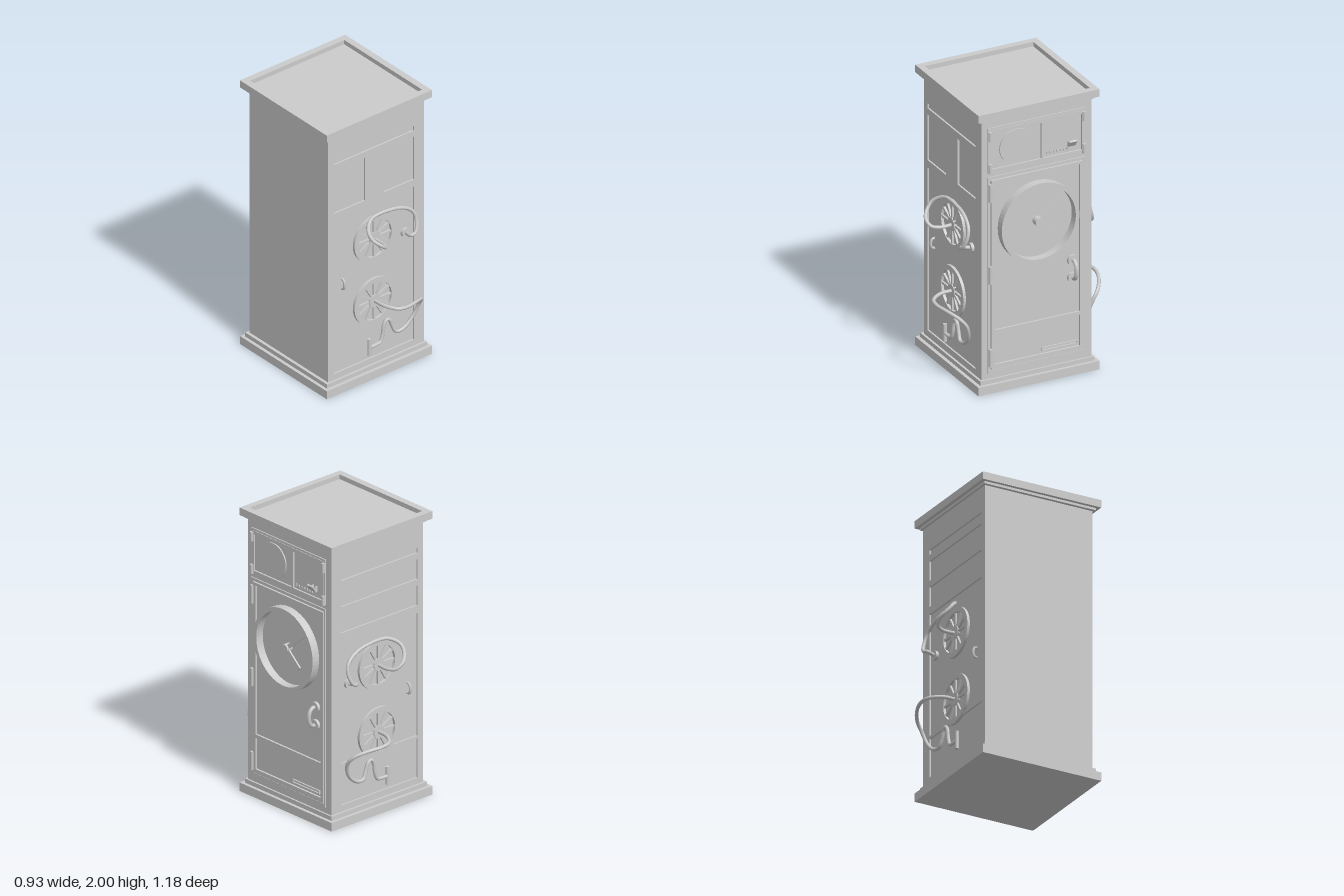
import * as THREE from 'three';

const mat = new THREE.MeshStandardMaterial({ color: 0xcccccc });
const V = (x, y, z) => new THREE.Vector3(x, y, z);

function add(parent, name, geo, x = 0, y = 0, z = 0) {
  const m = new THREE.Mesh(geo, mat);
  m.name = name;
  m.position.set(x, y, z);
  parent.add(m);
  return m;
}

// box given by its extents
function block(parent, name, x0, x1, y0, y1, z0, z1) {
  return add(parent, name, new THREE.BoxGeometry(x1 - x0, y1 - y0, z1 - z0),
    (x0 + x1) / 2, (y0 + y1) / 2, (z0 + z1) / 2);
}

// flat plate with rectangular openings, each [x0, x1, y0, y1]
function rect(P, [x0, x1, y0, y1]) {
  const p = new P();
  p.moveTo(x0, y0); p.lineTo(x1, y0); p.lineTo(x1, y1); p.lineTo(x0, y1); p.closePath();
  return p;
}
function plate(parent, name, outer, holes, z, depth) {
  const s = rect(THREE.Shape, outer);
  s.holes = holes.map(h => rect(THREE.Path, h));
  return add(parent, name, new THREE.ExtrudeGeometry(s, { depth, bevelEnabled: false }), 0, 0, z);
}

// flat ring facing +z
function ring(parent, name, x, y, z, ro, ri, depth) {
  const s = new THREE.Shape();
  s.absarc(0, 0, ro, 0, Math.PI * 2);
  const h = new THREE.Path();
  h.absarc(0, 0, ri, 0, Math.PI * 2);
  s.holes.push(h);
  return add(parent, name, new THREE.ExtrudeGeometry(s, { depth, bevelEnabled: false, curveSegments: 32 }), x, y, z);
}

// disc facing +z, from z to z + depth
function disc(parent, name, x, y, z, r, depth) {
  const g = new THREE.CylinderGeometry(r, r, depth, 24).rotateX(Math.PI / 2);
  return add(parent, name, g, x, y, z + depth / 2);
}

function tube(parent, name, pts, r, n = 80) {
  const c = new THREE.CatmullRomCurve3(pts.map(p => V(...p)));
  return add(parent, name, new THREE.TubeGeometry(c, n, r, 8));
}

const X0 = -0.418, X1 = 0.383, Z = 0.4, D = 0.012;

// hoses in face coordinates: z is the distance out from the face
const UPPER_HOSE = [[-.03, 1.03, -.01], [-.03, 1.03, .09], [-.055, 1.04, .14], [-.1, 1.075, .153], [-.145, 1.12, .12],
  [-.147, 1.17, .08], [-.08, 1.213, .03], [.09, 1.213, .02], [.2, 1.185, .025], [.265, 1.135, .035],
  [.28, 1.07, .05], [.255, 1.0, .07], [.222, .987, .065], [.23, .975, 0]];
const LOWER_HOSE = [[-.03, .56, -.01], [-.02, .56, .09], [.03, .553, .165], [.1, .547, .178], [.2, .535, .15], [.28, .5, .1],
  [.295, .445, .06], [.265, .35, .035], [.19, .283, .03], [.13, .277, .025], [.1, .33, .02], [.08, .38, .02],
  [.055, .393, .02], [.033, .365, .02], [.02, .29, .02], [0, .245, .02], [-.04, .237, .02], [-.09, .237, .02]];

// service side with panels and two hose reels; s = -1 mirrors it in x
function serviceSide(s, panels) {
  const g = new THREE.Group();
  g.name = s > 0 ? 'frontSide' : 'backSide';
  const mx = ([a, b, c, d]) => s > 0 ? [a, b, c, d] : [-b, -a, c, d];
  plate(g, 'panelFrame', mx([X0, X1, .09, 1.93]), panels.map(mx), -D, D);

  for (const y of [1.035, .56]) {
    const reel = new THREE.Group();
    reel.name = 'hoseReel';
    reel.position.set(-.03 * s, y, 0);
    g.add(reel);
    ring(reel, 'reelRim', 0, 0, -D, .172, .138, D + .007);
    disc(reel, 'reelHub', 0, 0, -D, .045, D + .007);
    for (let i = 0; i < 12; i++) {
      const a = i / 12 * Math.PI * 2;
      const sp = add(reel, 'reelSpoke', new THREE.BoxGeometry(.1, .016, .014),
        Math.cos(a) * .091, Math.sin(a) * .091, -.005);
      sp.rotation.z = a;
    }
  }

  const flip = pts => pts.map(([x, y, z]) => [x * s, y, z]);
  tube(g, 'upperHose', flip(UPPER_HOSE), .0125, 110);
  disc(g, 'hoseSocket', .23 * s, .975, -D, .032, D + .008);
  tube(g, 'lowerHose', flip(LOWER_HOSE), .0125, 130);
  add(g, 'nozzleBar', new THREE.CylinderGeometry(.013, .013, .125, 10), -.09 * s, .24, .02);

  // small pull handle
  const y = .787, x = -.293 * s;
  tube(g, 'panelHandle', [[x, y - .036, -D], [x, y - .03, .007], [x, y, .016], [x, y + .03, .007], [x, y + .036, -D]], .009, 20);
  return g;
}

// door side, built facing +z and turned to +x
function doorSide() {
  const g = new THREE.Group();
  g.name = 'doorSide';

  // upper pair of small doors
  plate(g, 'upperDoorFrame', [-.36, .35, 1.56, 1.88], [[-.34, .335, 1.575, 1.865]], 0, .008);
  plate(g, 'upperDoors', [-.34, .335, 1.575, 1.865], [[-.33, .03, 1.585, 1.84], [.045, .325, 1.585, 1.84]], 0, .012);
  disc(g, 'roundWindow', -.15, 1.712, 0, .122, .009);
  for (let i = 0; i < 7; i++) {
    block(g, 'scaleTick', .07 + i * .025, .076 + i * .025, 1.605, 1.62, 0, .008);
  }
  // toggle lever on two short posts
  for (const x of [.23, .262]) block(g, 'leverPost', x - .005, x + .005, 1.625, 1.665, 0, .015);
  const lever = add(g, 'lever', new THREE.BoxGeometry(.054, .012, .05), .245, 1.655, .03);
  lever.rotation.x = -.95;

  // tall door
  plate(g, 'doorFrame', [-.36, .35, .13, 1.53], [[-.34, .34, .155, 1.51]], 0, .008);
  plate(g, 'door', [-.335, .335, .16, 1.505], [[-.31, .31, .435, 1.485], [-.31, .31, .19, .41]], 0, .014);
  plate(g, 'ventFrame', [.035, .295, .207, .232], [[.042, .288, .213, .226]], 0, .01);

  // hinges
  const hinge = (x, y0, y1) => add(g, 'hinge',
    new THREE.CylinderGeometry(.013, .013, y1 - y0, 10), x, (y0 + y1) / 2, .015);
  for (const [a, b] of [[1.355, 1.48], [.77, .895], [.18, .305]]) hinge(-.342, a, b);
  for (const x of [-.345, .34]) for (const [a, b] of [[1.79, 1.855], [1.56, 1.625]]) hinge(x, a, b);

  // dial with two hands
  ring(g, 'dialRim', 0, 1.15, 0, .283, .257, .057);
  disc(g, 'dialHub', 0, 1.15, 0, .03, .047);
  for (const [dx, dy, w] of [[.178, .15, .026], [.125, -.11, .03]]) {
    const len = Math.hypot(dx, dy);
    const hand = add(g, 'dialHand', new THREE.BoxGeometry(len, w, .012), dx / 2, 1.15 + dy / 2, .028);
    hand.rotation.z = Math.atan2(dy, dx);
  }

  // door handle
  for (const y of [.812, .688]) disc(g, 'handleRosette', .258, y, 0, .036, .02);
  tube(g, 'doorHandle', [[.258, .688, 0], [.258, .688, .035], [.258, .71, .058], [.258, .75, .066],
    [.258, .79, .058], [.258, .812, .035], [.258, .812, 0]], .014, 40);

  g.rotation.y = Math.PI / 2;
  g.position.x = X1;
  return g;
}

export function createModel() {
  const root = new THREE.Group();
  root.name = 'cabinet';

  // body, base and cornice
  block(root, 'body', X0, X1, .05, 1.94, -Z + D, Z - D);
  block(root, 'base', -.463, .418, 0, .06, -.441, .441);
  block(root, 'baseStep', -.44, .395, .06, .09, -.416, .416);
  block(root, 'corniceStep', -.44, .395, 1.93, 1.95, -.416, .416);
  block(root, 'roof', -.463, .418, 1.947, 1.968, -.441, .441);
  const rim = plate(root, 'roofRim', [-.463, .418, -.441, .441], [[-.415, .372, -.395, .395]], 0, .032);
  rim.rotation.x = -Math.PI / 2;
  rim.position.y = 1.968;

  // front and back service sides
  const slot = [-.37, .30, 1.72, 1.755];
  const front = serviceSide(1, [slot, [-.37, -.11, 1.35, 1.675], [.05, .30, 1.35, 1.675], [-.37, .30, .135, 1.295]]);
  front.position.z = Z;
  const back = serviceSide(-1, [slot, [-.37, .30, 1.535, 1.675], [-.37, .30, 1.35, 1.49],
    [-.37, .30, .43, 1.295], [-.37, .30, .135, .41]]);
  back.position.z = -Z;
  back.rotation.y = Math.PI;
  root.add(front, back, doorSide());
  return root;
}
